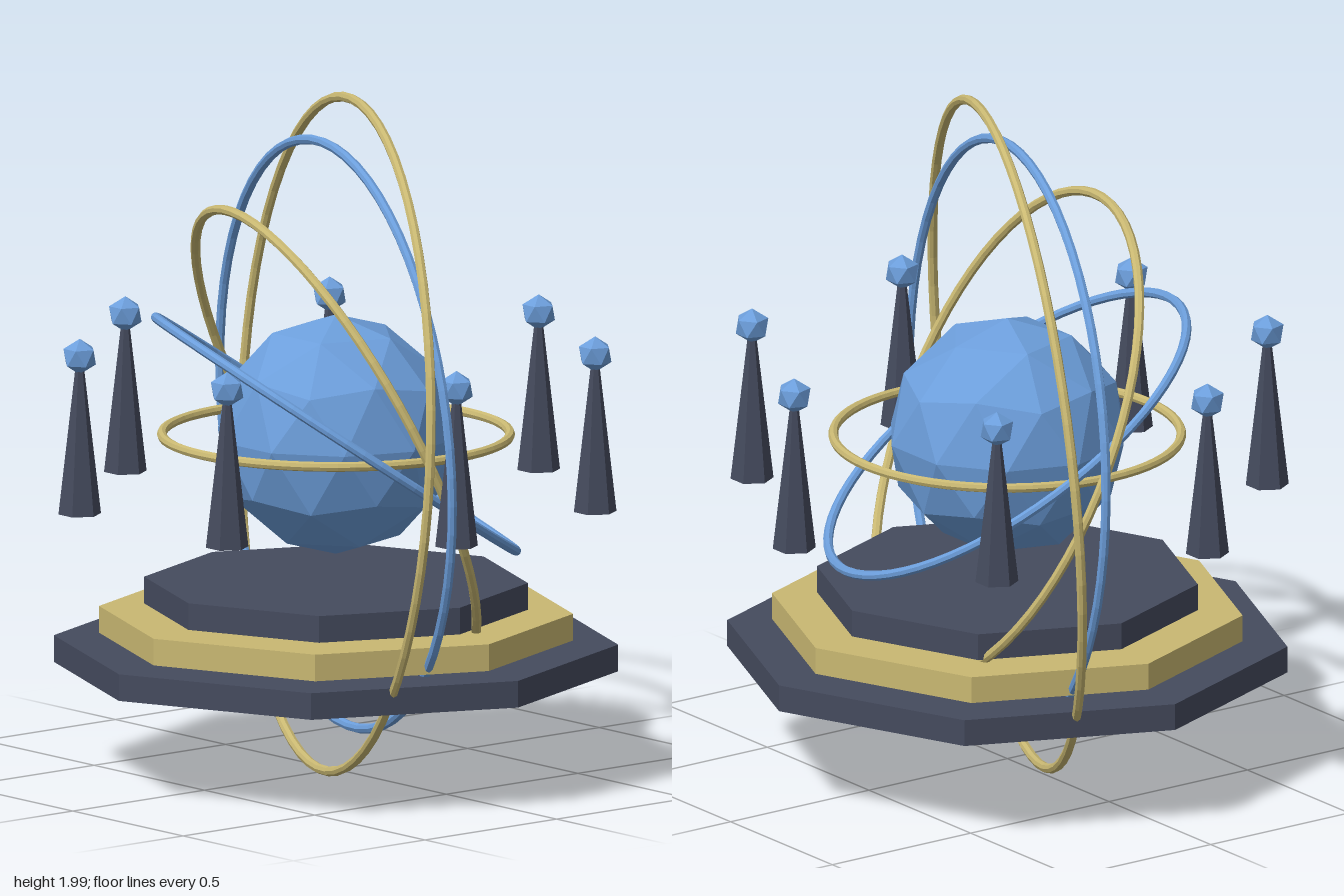
import * as THREE from 'three';

const flat = (name, color) => {
  const m = new THREE.MeshStandardMaterial({ color, flatShading: true });
  m.name = name;
  return m;
};

export function createModel() {
  const model = new THREE.Group();
  model.name = 'armillaryShrine';
  const slate = flat('slate', 0x454b5e);
  const gold = flat('gold', 0xc9b872);
  const blue = flat('blue', 0x6c9edb);

  const add = (name, geometry, material, x = 0, y = 0, z = 0, parent = model) => {
    const mesh = new THREE.Mesh(geometry, material);
    mesh.name = name;
    mesh.position.set(x, y, z);
    parent.add(mesh);
    return mesh;
  };

  // Faceted ball with a vertex at each pole and an upper vertex towards +x
  const facetedBall = (radius, detail) => {
    const phi = (1 + Math.sqrt(5)) / 2;
    return new THREE.IcosahedronGeometry(radius, detail)
      .rotateX(-Math.atan(phi))
      .rotateY(Math.PI / 2);
  };

  // Three stacked octagonal tiers
  [
    ['lowerTier', 0.825, 0.35, slate],
    ['middleTier', 0.693, 0.439, gold],
    ['upperTier', 0.561, 0.528, slate],
  ].forEach(([name, r, y, mat]) =>
    add(name, new THREE.CylinderGeometry(r, r, 0.079, 8), mat, 0, y, 0));

  // Central orb
  add('orb', facetedBall(0.355, 1), blue, 0, 1, 0);

  // Nested rings, each given by the direction of its axis
  const axisZ = new THREE.Vector3(0, 0, 1);
  [
    [0, 1, 0],
    [0.51, 0.827, 0.238],
    [0.867, 0.42, 0.265],
    [0.956, 0.036, 0.292],
    [0.911, -0.067, 0.407],
  ].forEach((axis, i) => {
    const ring = add('ring' + (i + 1),
      new THREE.TorusGeometry(0.507 + 0.119 * i, 0.0145, 8, 64),
      i % 2 ? blue : gold, 0, 1, 0);
    ring.quaternion.setFromUnitVectors(axisZ, new THREE.Vector3(...axis).normalize());
  });

  // Seven floating spires, each topped with a gem
  const spireGeometry = new THREE.CylinderGeometry(0.012, 0.063, 0.44, 6);
  const gemGeometry = facetedBall(0.053, 0);
  for (let i = 0; i < 7; i++) {
    const a = (i / 7) * Math.PI * 2;
    const spire = new THREE.Group();
    spire.name = 'spire' + (i + 1);
    spire.position.set(0.77 * Math.cos(a), 0, 0.77 * Math.sin(a));
    add('spireShaft', spireGeometry, slate, 0, 1.02, 0, spire);
    add('spireGem', gemGeometry, blue, 0, 1.266, 0, spire);
    model.add(spire);
  }

  return model;
}
